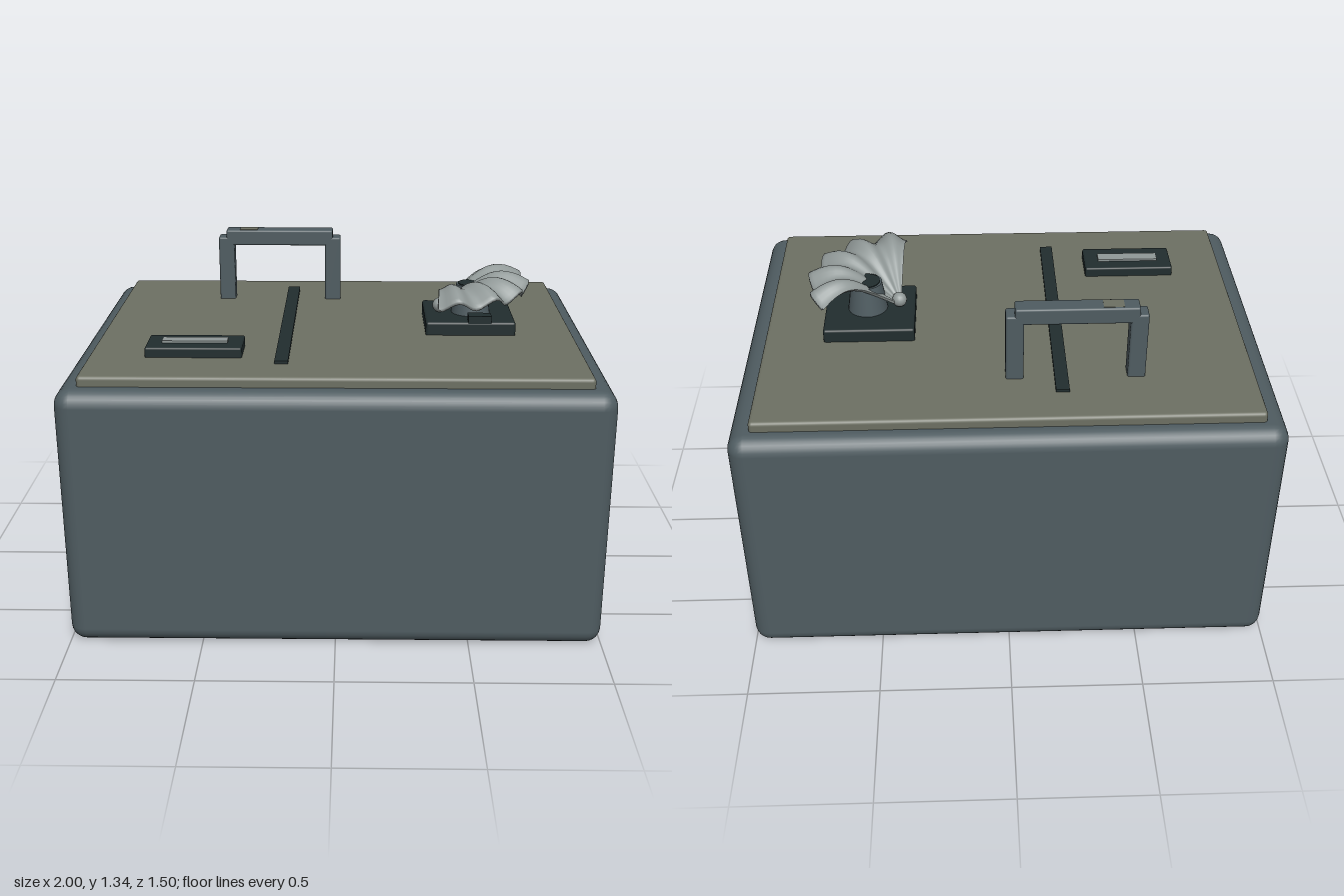
import * as THREE from 'three';
import { RoundedBoxGeometry } from 'three/addons/geometries/RoundedBoxGeometry.js';

function material(name, color) {
  const m = new THREE.MeshStandardMaterial({ color });
  m.name = name;
  return m;
}

// Rippled fan with thickness: each section runs out along the top and back underneath.
function fanGeometry() {
  const sections = 50, steps = 14, thickness = 0.013, radius = 0.345;
  const start = -0.57, sweep = 2.2, ripples = 5;
  const profile = new THREE.SplineCurve([
    new THREE.Vector2(0.02, 0), new THREE.Vector2(0.1, 0.065), new THREE.Vector2(0.17, 0.115),
    new THREE.Vector2(0.23, 0.135), new THREE.Vector2(0.29, 0.125), new THREE.Vector2(radius, 0.095),
  ]);
  const geometry = new THREE.PlaneGeometry(1, 1, steps * 2 + 1, sections);
  const pos = geometry.attributes.position;
  const row = steps * 2 + 2;
  for (let i = 0; i <= sections; i++) {
    const u = i / sections;
    const angle = start + sweep * u;
    const wave = -Math.cos(u * ripples * Math.PI * 2);
    const t = i === 0 || i === sections ? 0 : thickness;
    for (let j = 0; j < row; j++) {
      const under = j > steps;
      const p = profile.getPoint((under ? row - 1 - j : j) / steps);
      const k = p.x / radius;
      const r = p.x + 0.01 * wave * k * k;
      const y = p.y + 0.018 * wave * k - (under ? t : 0);
      pos.setXYZ(i * row + j, r * Math.cos(angle), y, r * Math.sin(angle));
    }
  }
  geometry.computeVertexNormals();
  return geometry;
}

export function createModel() {
  const model = new THREE.Group();
  model.name = 'case';
  const slate = material('slate', 0x4f5c61);
  const olive = material('olive grey', 0x6d7063);
  const dark = material('dark metal', 0x212d2e);
  const pale = material('pale grey', 0x919998);
  pale.side = THREE.DoubleSide;

  const add = (name, geometry, mat, x, y, z) => {
    const mesh = new THREE.Mesh(geometry, mat);
    mesh.name = name;
    mesh.position.set(x, y, z);
    model.add(mesh);
    return mesh;
  };
  const box = (name, w, h, d, r, mat, x, y, z) =>
    add(name, new RoundedBoxGeometry(w, h, d, 3, r), mat, x, y, z);

  // Body and lid
  box('body', 2, 1, 1.5, 0.06, slate, 0, 0.5, 0);
  box('lid', 1.845, 0.06, 1.355, 0.014, olive, 0, 1.008, 0);

  // Handle: two posts and a crossbar
  for (const x of [-0.478, -0.028]) box('handlePost', 0.066, 0.28, 0.07, 0.008, slate, x, 1.165, -0.4);
  box('handleBar', 0.45, 0.065, 0.07, 0.008, slate, -0.253, 1.303, -0.4);
  add('handleWearPatch', new THREE.BoxGeometry(0.075, 0.004, 0.05), olive, -0.383, 1.335, -0.4);

  // Seam strip
  add('seamStrip', new THREE.BoxGeometry(0.05, 0.025, 1.045), dark, -0.2, 1.037, 0);

  // Latch plate with pale label
  box('latchPlate', 0.36, 0.05, 0.167, 0.008, dark, -0.53, 1.051, 0.372);
  add('latchLabel', new THREE.BoxGeometry(0.245, 0.009, 0.05), pale, -0.53, 1.08, 0.37);

  // Pedestal for the fan
  box('pedestalBase', 0.35, 0.06, 0.33, 0.01, dark, 0.52, 1.06, -0.005);
  add('pedestalCatch', new THREE.BoxGeometry(0.09, 0.03, 0.055), dark, 0.555, 1.099, 0.132);
  add('neck', new THREE.CylinderGeometry(0.06, 0.078, 0.12, 24), slate, 0.53, 1.145, 0);
  add('neckCap', new THREE.CylinderGeometry(0.052, 0.052, 0.006, 24), dark, 0.53, 1.206, 0);

  // Rippled fan and its hinge knob
  add('fan', fanGeometry(), pale, 0.4, 1.115, 0);
  add('hingeKnob', new THREE.SphereGeometry(0.029, 16, 12), pale, 0.406, 1.118, 0.005);
  return model;
}
